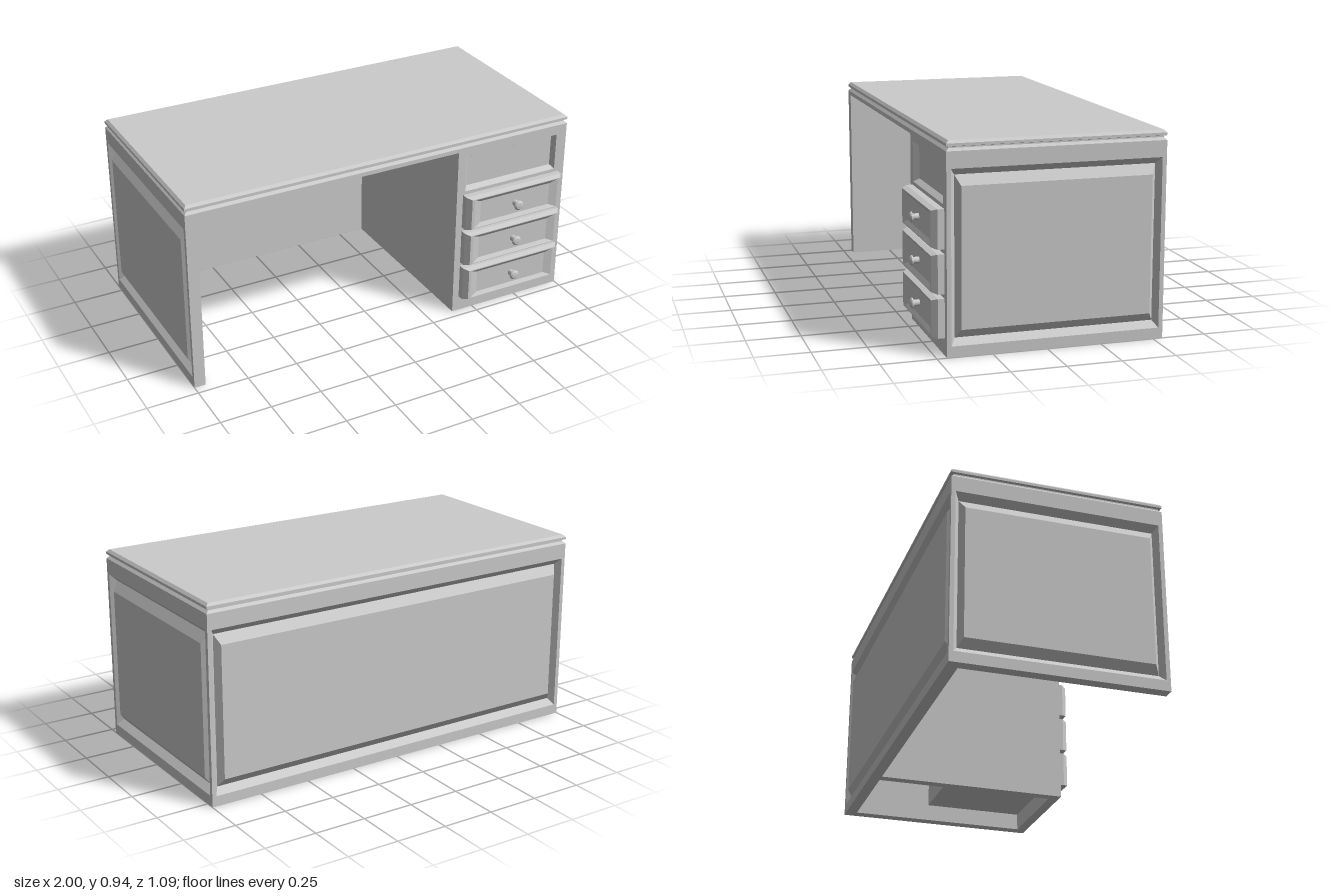
import * as THREE from 'three';

const material = new THREE.MeshStandardMaterial({ color: 0xcccccc, flatShading: true });

// Joins rectangles [x0, x1, y0, y1, z] in turn and caps the last (and the first)
function rectLoft(rects, capStart = true) {
  const positions = [];
  const corners = ([x0, x1, y0, y1, z]) => [[x0, y0, z], [x1, y0, z], [x1, y1, z], [x0, y1, z]];
  const quad = (a, b, c, d) => positions.push(...a, ...b, ...c, ...a, ...c, ...d);
  const loops = rects.map(corners);
  for (let i = 0; i < loops.length - 1; i++) {
    const p = loops[i], q = loops[i + 1];
    for (let k = 0; k < 4; k++) {
      const n = (k + 1) % 4;
      quad(p[k], p[n], q[n], q[k]);
    }
  }
  quad(...loops[loops.length - 1]);
  if (capStart) quad(...loops[0].slice().reverse());
  const geometry = new THREE.BufferGeometry();
  geometry.setAttribute('position', new THREE.Float32BufferAttribute(positions, 3));
  geometry.computeVertexNormals();
  return geometry;
}

export function createModel() {
  const desk = new THREE.Group();
  desk.name = 'desk';

  function add(name, geometry, parent = desk) {
    const mesh = new THREE.Mesh(geometry, material);
    mesh.name = name;
    parent.add(mesh);
    return mesh;
  }

  function addBox(name, x0, x1, y0, y1, z0, z1) {
    const mesh = add(name, new THREE.BoxGeometry(x1 - x0, y1 - y0, z1 - z0));
    mesh.position.set((x0 + x1) / 2, (y0 + y1) / 2, (z0 + z1) / 2);
  }

  // Wall with a raised field inside a V groove; a mitre shortens its inner face at either end
  function framedWall(x0, x1, mitre0, mitre1) {
    const inset = (s, y0, y1, z) => [x0 + s, x1 - s, y0, y1, z];
    return rectLoft([
      [x0 + mitre0, x1 - mitre1, 0, 0.88, -0.055],
      inset(0, 0, 0.88, 0),
      inset(0.02, 0.05, 0.825, 0),
      inset(0.042, 0.08, 0.795, -0.03),
      inset(0.065, 0.12, 0.75, 0),
    ]);
  }

  // Side and back walls
  const leftWall = add('leftSidePanel', framedWall(-0.455, 0.545, 0, 0.055));
  leftWall.rotation.y = Math.PI / 2;
  leftWall.position.x = 1;
  const rightWall = add('rightSidePanel', framedWall(-0.545, 0.455, 0.055, 0));
  rightWall.rotation.y = -Math.PI / 2;
  rightWall.position.x = -1;
  const backWall = add('backPanel', framedWall(-1, 1, 0.055, 0.055));
  backWall.rotation.y = Math.PI;
  backWall.position.z = -0.545;

  // Desktop with a moulded edge: [inset, height]
  const edge = [[0, 0.88], [0, 0.9], [0.012, 0.912], [0.012, 0.918], [0, 0.921], [0, 0.933], [0.012, 0.945]];
  const top = add('desktop', rectLoft(edge.map(([s, y]) => [-1 + s, 1 - s, -0.455 + s, 0.545 - s, y])));
  top.rotation.x = -Math.PI / 2;

  // Drawer pedestal: inner wall and front with an opening at the top
  addBox('pedestalInnerWall', 0.385, 0.435, 0, 0.88, -0.49, 0.405);
  const front = new THREE.Shape([[0.385, 0], [0.945, 0], [0.945, 0.88], [0.385, 0.88]].map(p => new THREE.Vector2(...p)));
  front.holes.push(new THREE.Path([[0.43, 0.665], [0.43, 0.85], [0.944, 0.85], [0.944, 0.665]].map(p => new THREE.Vector2(...p))));
  add('pedestalFront', new THREE.ExtrudeGeometry(front, { depth: 0.05, bevelEnabled: false })).position.z = 0.405;
  add('recessedTopPanel', rectLoft([
    [0.43, 0.944, 0.665, 0.85, 0.455],
    [0.45, 0.93, 0.682, 0.835, 0.43],
  ], false));

  // Drawer boxes inside the pedestal
  for (const y of [0.084, 0.28, 0.48, 0.675]) addBox('drawerBox', 0.435, 0.945, y, y + 0.17, -0.1, 0.405);

  // Drawer fronts with a bevelled rim, sunk field and turned knob
  const knobProfile = [[0, 0], [0.015, 0], [0.015, 0.026], [0.024, 0.03], [0.024, 0.036], [0.017, 0.042], [0, 0.044]];
  for (const y of [0.167, 0.363, 0.56]) {
    const drawer = new THREE.Group();
    drawer.name = 'drawer';
    drawer.position.set(0.692, y, 0.455);
    desk.add(drawer);
    const rect = (sx, sy, z) => [-0.273 + sx, 0.273 - sx, -0.088 + sy, 0.088 - sy, z];
    add('drawerFront', rectLoft([
      rect(0, 0, 0), rect(0, 0, 0.03), rect(0.02, 0.008, 0.055),
      rect(0.035, 0.012, 0.055), rect(0.075, 0.03, 0.043),
    ]), drawer);
    const knob = add('knob', new THREE.LatheGeometry(knobProfile.map(p => new THREE.Vector2(...p)), 16), drawer);
    knob.rotation.x = Math.PI / 2;
    knob.position.z = 0.043;
  }

  return desk;
}
